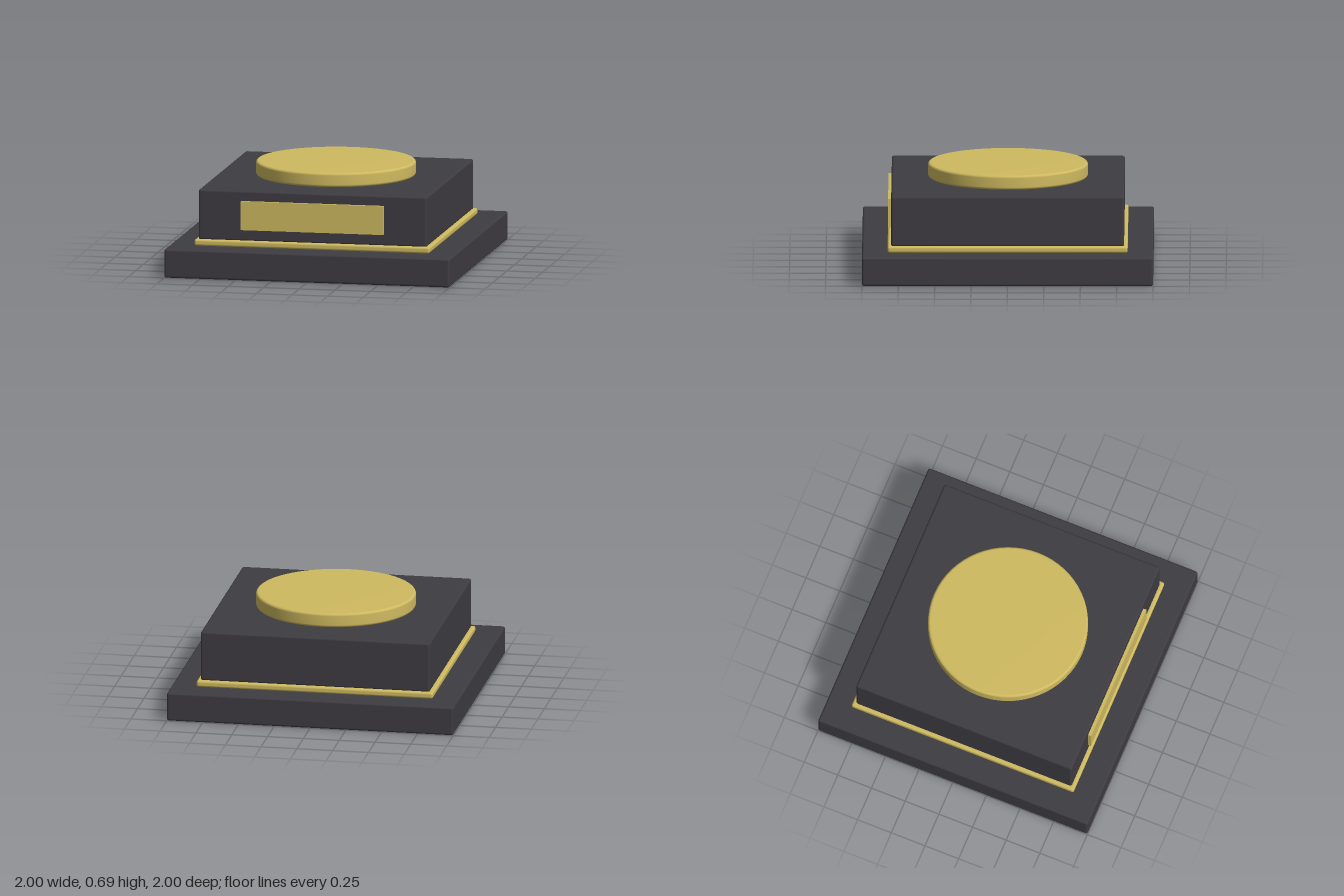
import * as THREE from 'three';
import { RoundedBoxGeometry } from 'three/addons/geometries/RoundedBoxGeometry.js';

export function createModel() {
  const model = new THREE.Group();
  model.name = 'trophyPlinth';

  const charcoal = new THREE.MeshStandardMaterial({ color: 0x3e3c42 });
  charcoal.name = 'charcoal';
  const gold = new THREE.MeshStandardMaterial({ color: 0xcfba60 });
  gold.name = 'gold';

  function add(name, geometry, material, y, z = 0) {
    const mesh = new THREE.Mesh(geometry, material);
    mesh.name = name;
    mesh.position.set(0, y, z);
    model.add(mesh);
  }

  // Square slab between two heights, with softened edges
  function slab(name, width, bottom, top, radius, material) {
    const geometry = new RoundedBoxGeometry(width, top - bottom, width, 3, radius);
    add(name, geometry, material, (bottom + top) / 2);
  }

  slab('base', 2, 0, 0.2, 0.015, charcoal);
  slab('trimBand', 1.65, 0.2, 0.245, 0.015, gold);
  slab('upperBlock', 1.6, 0.24, 0.59, 0.015, charcoal);

  // Round top disc with rounded rims
  const r = 0.55, h = 0.1, b = 0.018;
  const profile = [new THREE.Vector2(0, 0)];
  for (let i = 0; i <= 4; i++) {
    const a = -Math.PI / 2 + (i / 4) * (Math.PI / 2);
    profile.push(new THREE.Vector2(r - b + b * Math.cos(a), b + b * Math.sin(a)));
  }
  for (let i = 0; i <= 4; i++) {
    const a = (i / 4) * (Math.PI / 2);
    profile.push(new THREE.Vector2(r - b + b * Math.cos(a), h - b + b * Math.sin(a)));
  }
  profile.push(new THREE.Vector2(0, h));
  add('topDisc', new THREE.LatheGeometry(profile, 64), gold, 0.59);

  // Blank name plate on the front face
  add('frontPlate', new THREE.BoxGeometry(1, 0.2, 0.03), gold, 0.42, 0.807);

  return model;
}
